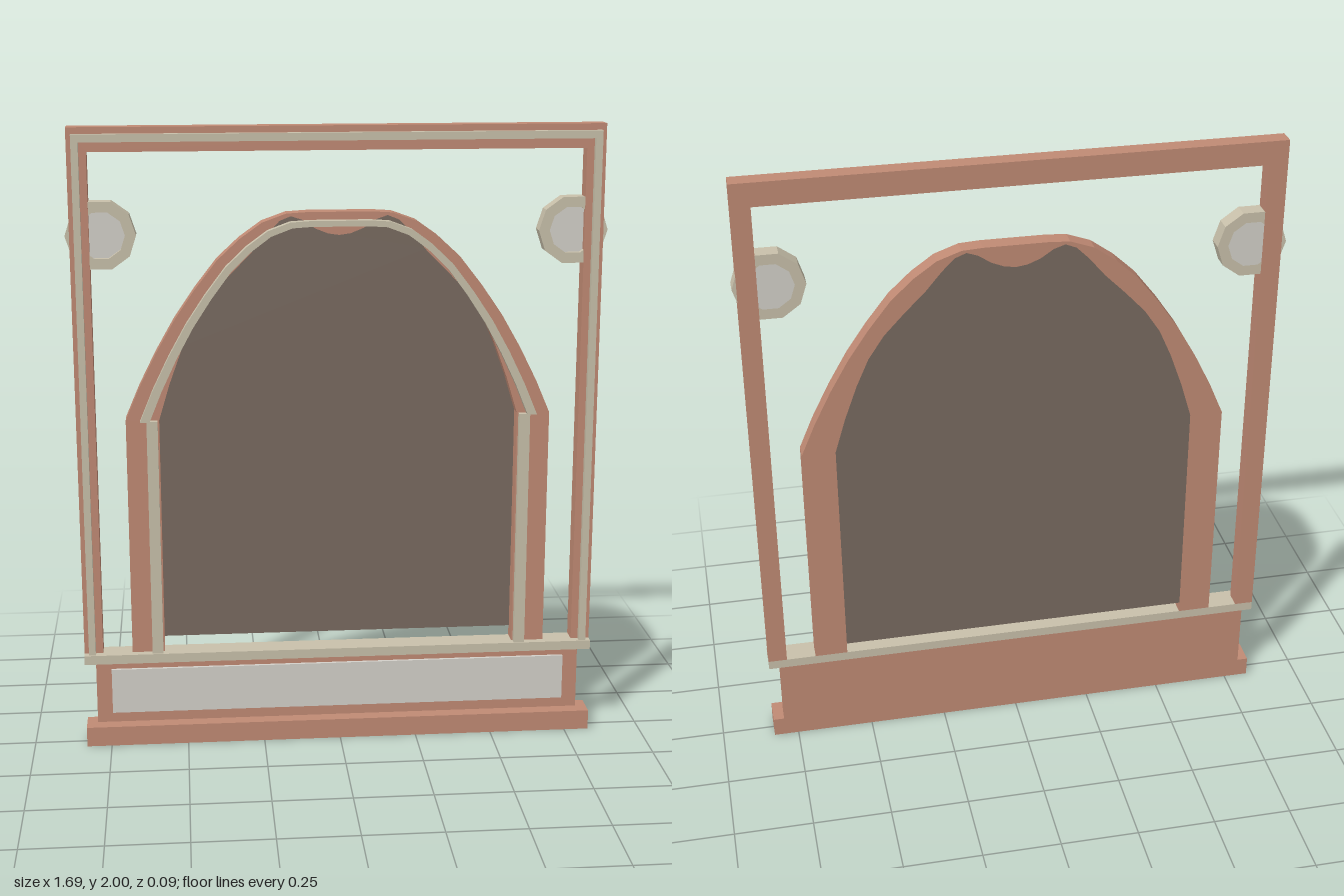
import * as THREE from 'three';

const mat = (color) => new THREE.MeshStandardMaterial({ color, flatShading: true });
const brown = mat(0xc08a74), tan = mat(0xc8c0aa), pale = mat(0xd3d0c9), dark = mat(0x786a60);
const BACK = -0.045, FACE = 0.01, SPRING = 1.085;

export function createModel() {
  const model = new THREE.Group();

  const add = (name, geometry, material) => {
    const mesh = new THREE.Mesh(geometry, material);
    mesh.name = name;
    model.add(mesh);
    return mesh;
  };
  // Box given by its limits
  const box = (name, material, x0, x1, y0, y1, z0, z1) => {
    const mesh = add(name, new THREE.BoxGeometry(x1 - x0, y1 - y0, z1 - z0), material);
    mesh.position.set((x0 + x1) / 2, (y0 + y1) / 2, (z0 + z1) / 2);
  };
  // Flat outline extruded between two depths
  const slab = (name, material, points, z0, z1, hole) => {
    const shape = new THREE.Shape(points);
    if (hole) shape.holes.push(new THREE.Path(hole));
    const geometry = new THREE.ExtrudeGeometry(shape, { depth: z1 - z0, bevelEnabled: false });
    add(name, geometry.translate(0, 0, z0), material);
  };
  const v = (x, y) => new THREE.Vector2(x, y);
  // Right half (from the spring to the crown) mirrored into a full arc
  const mirror = (half) => [
    ...half.map(([x, y]) => v(x, y)),
    ...half.filter(([x]) => x > 0).reverse().map(([x, y]) => v(-x, y)),
  ];
  const legs = (arc, y) => [v(arc[0].x, y), ...arc, v(-arc[0].x, y)];

  // Base, plinth and sill
  box('base', brown, -0.83, 0.83, 0, 0.065, BACK, 0.045);
  box('plinth', brown, -0.795, 0.795, 0.065, 0.28, BACK, 0);
  box('plinthPanel', pale, -0.745, 0.745, 0.1, 0.25, 0, 0.01);
  box('sill', tan, -0.83, 0.83, 0.28, 0.31, BACK, 0.035);

  // Rectangular outer frame with a raised trim
  const gate = (x, top, w, wTop) => [
    v(-x, 0.31), v(-x, top), v(x, top), v(x, 0.31),
    v(x - w, 0.31), v(x - w, top - wTop), v(w - x, top - wTop), v(w - x, 0.31),
  ];
  slab('outerFrame', brown, gate(0.83, 2, 0.06, 0.075), BACK, FACE);
  slab('outerFrameTrim', tan, gate(0.815, 1.98, 0.022, 0.024), FACE, 0.03);

  // Arch profile
  const outer = mirror([
    [0.675, SPRING], [0.63, 1.19], [0.575, 1.3], [0.515, 1.405], [0.45, 1.5], [0.38, 1.59],
    [0.31, 1.655], [0.24, 1.705], [0.165, 1.732], [0.1, 1.736], [0, 1.736],
  ]);
  // Opening with two humps and a dip at the crown
  const inner = mirror([
    [0.57, SPRING], [0.535, 1.2], [0.495, 1.31], [0.455, 1.4], [0.405, 1.475], [0.34, 1.545],
    [0.275, 1.61], [0.225, 1.67], [0.185, 1.71], [0.15, 1.724], [0.115, 1.712],
    [0.075, 1.685], [0.035, 1.669], [0, 1.664],
  ]);
  slab('arch', brown, [...legs(outer, 0.31), ...legs(inner, 0.31).reverse()], BACK, FACE);
  slab('archPanel', dark, legs(inner, 0.345), BACK + 0.001, BACK + 0.008);

  // Raised trim following the arch
  const scaled = (x, top) => outer.map((p) =>
    v(p.x * x / 0.675, SPRING + (p.y - SPRING) * (top - SPRING) / (1.736 - SPRING)));
  slab('archTrim', tan, [...scaled(0.63, 1.712), ...scaled(0.6, 1.694).reverse()], FACE, 0.04);

  for (const [side, s] of [['left', 1], ['right', -1]]) {
    // Straight trim on each jamb
    const xs = [0.575 * s, 0.61 * s].sort((a, b) => a - b);
    box(side + 'JambTrim', tan, xs[0], xs[1], 0.31, SPRING, FACE, 0.03);

    // Ten-sided medallion: ring and recessed disc
    const decagon = (r) => Array.from({ length: 10 }, (_, i) =>
      v(0.735 * s + r * Math.cos(i * Math.PI / 5), 1.67 + r * Math.sin(i * Math.PI / 5)));
    slab(side + 'MedallionRing', tan, decagon(0.109), BACK + 0.001, FACE - 0.002, decagon(0.075));
    slab(side + 'MedallionDisc', pale, decagon(0.075), BACK + 0.001, -0.01);
  }
  return model;
}
